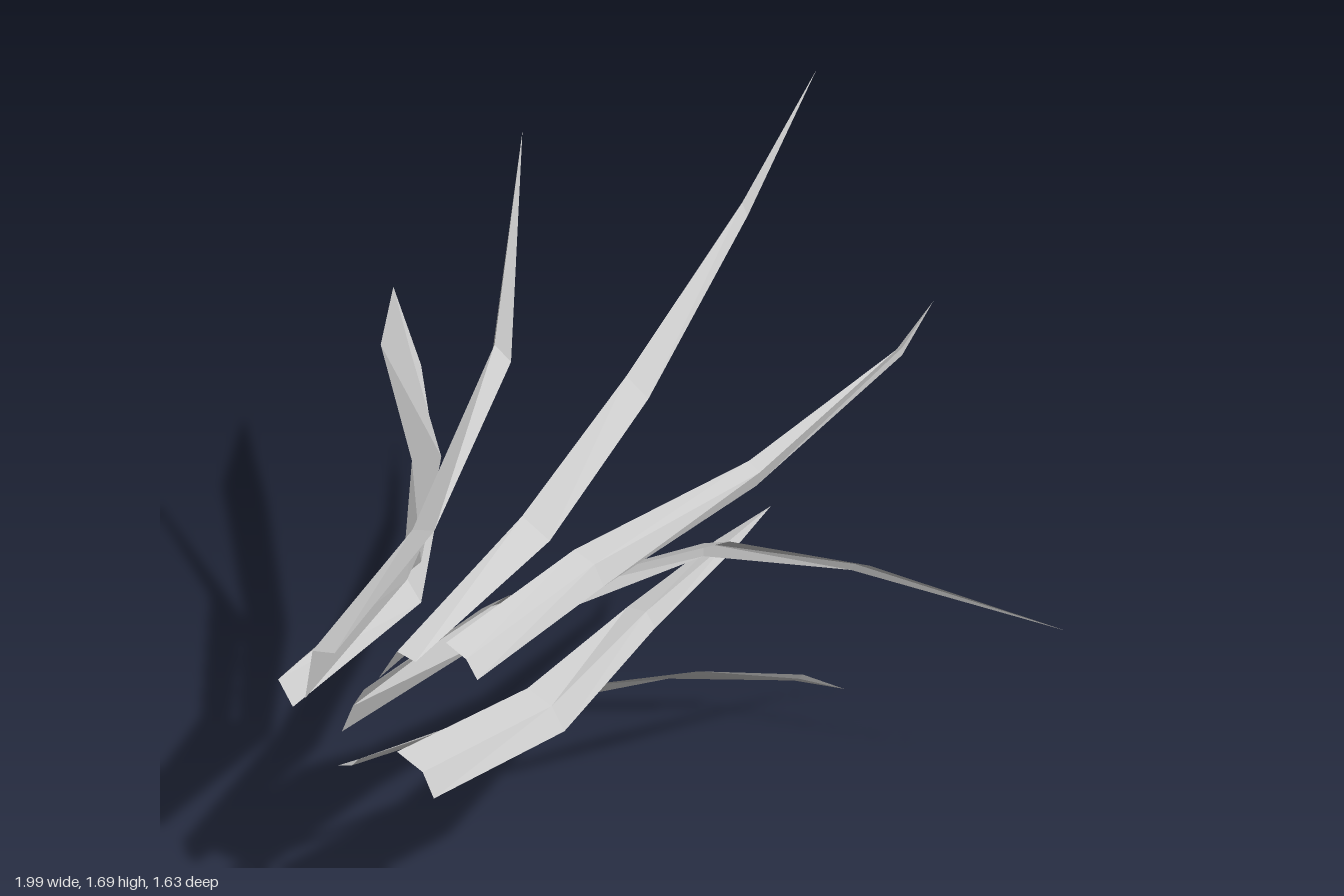
import * as THREE from 'three';

const material = new THREE.MeshStandardMaterial({ color: 0xcccccc, flatShading: true, side: THREE.DoubleSide });

// A folded leaf: each station is z followed by the [x, y] of edge, fold and edge; it closes in a tip.
function blade(name, stations, tip) {
  const points = [];
  for (const [z, ...section] of stations) {
    for (const [x, y] of section) points.push(x, y, z);
  }
  points.push(...tip);

  const index = [];
  const last = stations.length - 1;
  for (let side = 0; side < 2; side++) {
    for (let i = 0; i < last; i++) {
      const a = i * 3 + side;
      index.push(a, a + 1, a + 3, a + 1, a + 4, a + 3);
    }
    const end = last * 3 + side;
    index.push(end, end + 1, stations.length * 3);
  }

  const geometry = new THREE.BufferGeometry();
  geometry.setAttribute('position', new THREE.Float32BufferAttribute(points, 3));
  geometry.setIndex(index);
  geometry.computeVertexNormals();
  const mesh = new THREE.Mesh(geometry, material);
  mesh.name = name;
  return mesh;
}

export function createModel() {
  const group = new THREE.Group();
  group.name = 'leafTuft';

  // Leaves spreading sideways
  group.add(blade('rightLeaf', [
    [0.79, [-0.22, 0.6], [-0.26, 0.66], [-0.22, 0.71]],
    [0.27, [-0.22, 0.6], [-0.27, 0.665], [-0.22, 0.71]],
    [-0.11, [-0.42, 0.62], [-0.5, 0.675], [-0.42, 0.715]],
    [-0.52, [-0.75, 0.62], [-0.86, 0.635], [-0.78, 0.65]],
  ], [-1, 0.6, -0.78]));

  group.add(blade('leftLeaf', [
    [0.8, [-0.08, 0.59], [-0.05, 0.67], [-0.02, 0.725]],
    [0.37, [0.03, 0.645], [0.01, 0.72], [0.08, 0.78]],
    [-0.13, [0.28, 0.69], [0.28, 0.725], [0.35, 0.755]],
    [-0.37, [0.52, 0.61], [0.53, 0.63], [0.57, 0.64]],
  ], [0.99, 0.525, -0.54]));

  // Leaves rising
  group.add(blade('upperRightLeaf', [
    [0.77, [-0.2, 0.62], [-0.18, 0.755], [-0.12, 0.77]],
    [0.35, [-0.205, 0.71], [-0.19, 0.85], [-0.13, 0.87]],
    [-0.02, [-0.24, 0.97], [-0.215, 1.14], [-0.17, 1.11]],
  ], [-0.3, 1.555, -0.26]));

  group.add(blade('topLeaf', [
    [0.8, [0.02, 0.77], [0.07, 0.86], [0.12, 0.85]],
    [0.33, [0.08, 0.86], [0.095, 0.98], [0.17, 0.94]],
    [-0.04, [0.1, 1.05], [0.13, 1.17], [0.19, 1.13]],
    [-0.45, [0.16, 1.4], [0.17, 1.43], [0.185, 1.4]],
  ], [0.225, 1.69, -0.67]));

  group.add(blade('upperLeftLeaf', [
    [0.81, [0.21, 0.94], [0.265, 0.915], [0.295, 0.87]],
    [0.38, [0.27, 0.98], [0.325, 0.96], [0.35, 0.91]],
    [-0.03, [0.47, 1.07], [0.5, 1.05], [0.49, 1.01]],
    [-0.42, [0.61, 1.21], [0.625, 1.22], [0.625, 1.2]],
  ], [0.64, 1.295, -0.525]));

  // Leaves drooping
  group.add(blade('lowerLeaf', [
    [0.79, [-0.1, 0.485], [-0.06, 0.5], [-0.04, 0.525]],
    [0.15, [0.03, 0.355], [0.08, 0.415], [0.125, 0.435]],
    [-0.2, [0.137, 0.27], [0.19, 0.3], [0.22, 0.32]],
    [-0.6, [0.21, 0.075], [0.225, 0.085], [0.235, 0.1]],
  ], [0.26, 0, -0.73]));

  group.add(blade('lowerBackLeaf', [
    [0.8, [0.07, 0.59], [0.14, 0.56], [0.17, 0.5]],
    [0.36, [0.13, 0.545], [0.195, 0.52], [0.23, 0.465]],
    [-0.09, [0.1, 0.51], [0.15, 0.515], [0.175, 0.48]],
    [-0.54, [0.04, 0.425], [0.07, 0.43], [0.09, 0.42]],
  ], [0, 0.35, -0.82]));

  return group;
}
